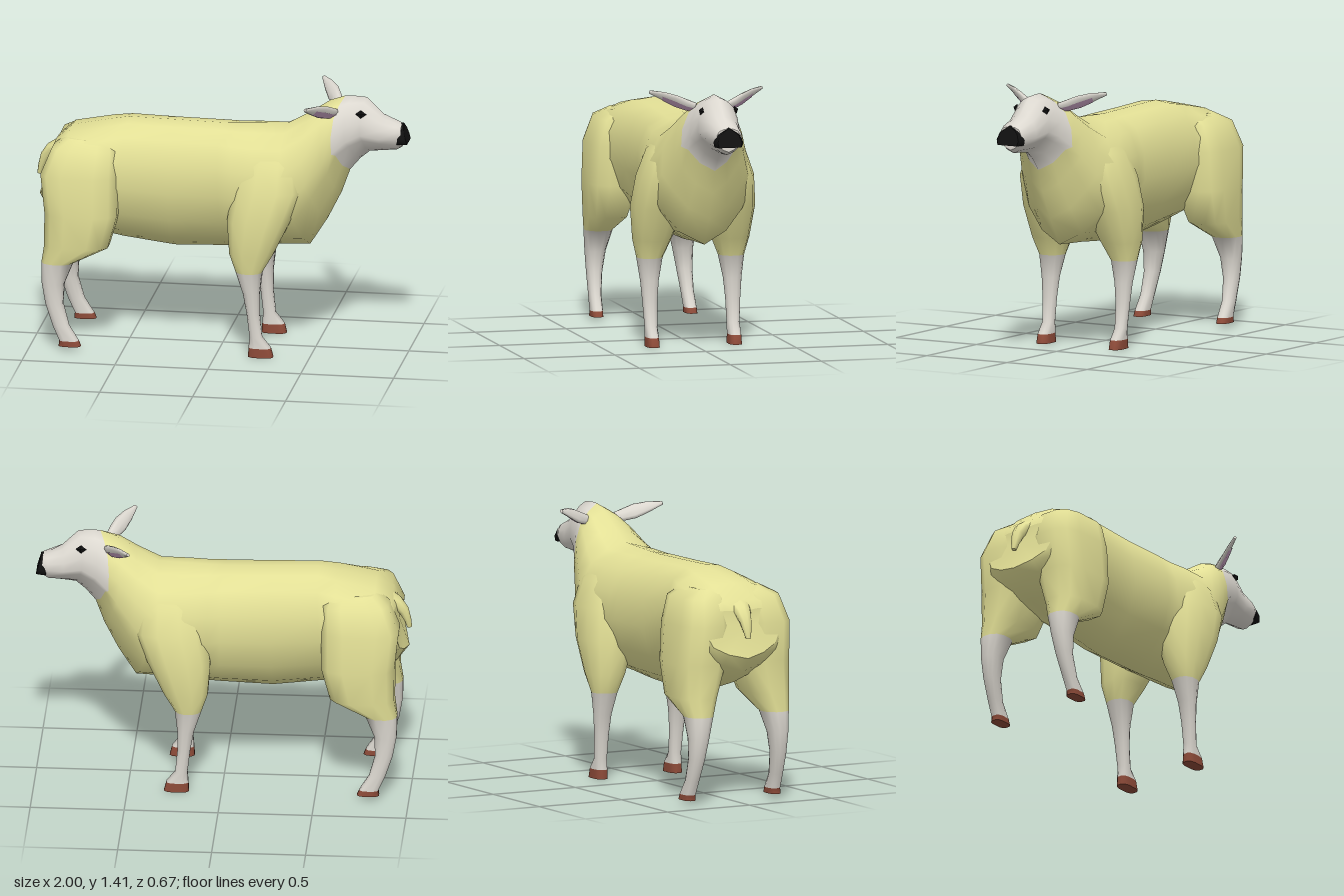
import * as THREE from 'three';

const WOOL = 0xe3e096, FACE = 0xdcd8d0, HOOF = 0x8c4a38, BLACK = 0x101010, PINK = 0xc9a3c3;
const V = (x, y, z) => new THREE.Vector3(x, y, z);

function mesh(name, geometry, color, side = THREE.FrontSide) {
  const m = new THREE.Mesh(geometry, new THREE.MeshStandardMaterial({ color, side }));
  m.name = name;
  return m;
}

// Skins closed rings with smooth normals, then splits the skin into coloured
// bands [name, colour, firstRing, lastRing]. End caps keep a sharp edge.
function loft(name, rings, bands) {
  const n = rings[0].length, last = rings.length - 1;
  const pos = rings.flat().flatMap(p => p.toArray());
  const spans = [];
  for (let i = 0; i < last; i++) {
    const tris = [];
    for (let j = 0; j < n; j++) {
      const a = i * n + j, b = i * n + (j + 1) % n;
      tris.push(a, b, b + n, a, b + n, a + n);
    }
    spans.push(tris);
  }
  for (const [i, ring] of [[0, rings[0]], [last - 1, rings[last]]]) {
    const start = pos.length / 3, c = V(0, 0, 0);
    ring.forEach(p => { c.addScaledVector(p, 1 / n); pos.push(p.x, p.y, p.z); });
    pos.push(c.x, c.y, c.z);
    const first = ring === rings[0];
    for (let j = 0; j < n; j++) {
      const a = start + j, b = start + (j + 1) % n;
      spans[i].push(...(first ? [b, a, start + n] : [a, b, start + n]));
    }
  }
  // Turn the skin outward whichever way the rings run
  const P = i => V(pos[3 * i], pos[3 * i + 1], pos[3 * i + 2]);
  let volume = 0;
  const all = spans.flat();
  for (let i = 0; i < all.length; i += 3) volume += P(all[i]).dot(P(all[i + 1]).cross(P(all[i + 2])));
  if (volume < 0) spans.forEach(s => { for (let i = 0; i < s.length; i += 3) [s[i], s[i + 1]] = [s[i + 1], s[i]]; });

  const base = new THREE.BufferGeometry();
  base.setAttribute('position', new THREE.Float32BufferAttribute(pos, 3));
  base.setIndex(spans.flat());
  base.computeVertexNormals();
  const group = new THREE.Group();
  group.name = name;
  for (const [part, color, from, to] of bands) {
    const g = base.clone();
    g.setIndex(spans.slice(from, to).flat());
    group.add(mesh(part, g, color));
  }
  return group;
}

// Torso section: [share of half width, share of height]
const SECTION = [[0, 0], [0.45, 0.1], [0.8, 0.27], [1, 0.5], [0.96, 0.72], [0.76, 0.9], [0.4, 0.98], [0, 1]];
const OUTLINE = [...SECTION, ...SECTION.slice(1, -1).reverse().map(([w, t]) => [-w, t])];

// Ring from its top point, bottom point and half width; peak makes it
// pear-shaped and sweeps the sides back
const bodyRing = ([tx, ty, bx, by, w, peak = 0]) => OUTLINE.map(([f, t]) => {
  const sweep = peak * Math.abs(f);
  return V(bx + (tx - bx) * t - sweep, by + (ty - by) * t - (t >= 0.5 ? sweep * 1.2 : 0), f * w);
});

// Level leg ring from x and z limits, squarer as power falls
function legRing([y, x0, x1, z0, z1, power], side) {
  const ring = [], n = 12;
  const bend = v => Math.sign(v) * Math.pow(Math.abs(v), power);
  for (let j = 0; j < n; j++) {
    const a = (j + 0.5) / n * Math.PI * 2;
    ring.push(V((x0 + x1) / 2 + bend(Math.cos(a)) * (x1 - x0) / 2, y,
      side * ((z0 + z1) / 2 + bend(Math.sin(a)) * (z1 - z0) / 2)));
  }
  return ring;
}

function leg(name, rows, side) {
  return loft(name, rows.map(r => legRing(r, side)), [
    ['hoof', HOOF, 0, 1], ['shank', FACE, 1, 5], ['woollyThigh', WOOL, 5, rows.length - 1]]);
}

function ear(side) {
  const group = new THREE.Group();
  group.name = 'ear';
  const wide = V(0.6, 0.8, 0.08), inward = V(0.62, -0.53, 0.6);
  // Centre x, y, z, half width, half thickness
  const rows = [[0.615, 1.33, 0.085, 0.026, 0.018], [0.595, 1.34, 0.125, 0.036, 0.02],
    [0.565, 1.36, 0.18, 0.043, 0.016], [0.53, 1.383, 0.24, 0.032, 0.012], [0.492, 1.404, 0.308, 0.01, 0.008]];
  const place = (r, a, b) => {
    const p = V(r[0], r[1], r[2]).addScaledVector(wide, a).addScaledVector(inward, b);
    p.z *= side;
    return p;
  };
  const rings = rows.map(r => Array.from({ length: 8 }, (_, j) => {
    const a = j / 8 * Math.PI * 2;
    return place(r, Math.cos(a) * r[3], Math.sin(a) * r[4]);
  }));
  group.add(loft('earShell', rings, [['earSkin', FACE, 0, 4]]));
  // Pink lining lies just over the lower inner face
  const pts = [], idx = [];
  rows.slice(0, 4).forEach((r, i) => {
    for (const [f, h] of [[-0.88, 0.3], [-0.7, 0.71], [0.3, 0.95]]) pts.push(...place(r, f * r[3], r[4] * h + 0.003).toArray());
    if (i) for (const c of [0, 1]) {
      const a = (i - 1) * 3 + c;
      idx.push(a, a + 1, a + 4, a, a + 4, a + 3);
    }
  });
  const lining = new THREE.BufferGeometry();
  lining.setAttribute('position', new THREE.Float32BufferAttribute(pts, 3));
  lining.setIndex(idx);
  lining.computeVertexNormals();
  group.add(mesh('earLining', lining, PINK, THREE.DoubleSide));
  return group;
}

export function createModel() {
  const model = new THREE.Group();
  model.name = 'sheep';

  // Torso, neck and head in one skin, from the rump forward
  const body = [
    [-0.925, 1.03, -0.985, 0.785, 0.235, -0.03], [-0.895, 1.09, -0.93, 0.71, 0.265], [-0.81, 1.17, -0.83, 0.64, 0.295],
    [-0.6, 1.213, -0.64, 0.585, 0.285], [-0.5, 1.23, -0.54, 0.565, 0.245], [-0.26, 1.225, -0.26, 0.53, 0.24],
    [0, 1.22, 0.02, 0.54, 0.25], [0.08, 1.222, 0.1, 0.545, 0.258, 0.01], [0.2, 1.228, 0.25, 0.558, 0.28, 0.02],
    [0.35, 1.235, 0.47, 0.57, 0.28, 0.03], [0.48, 1.31, 0.565, 0.72, 0.235, 0.05],
    [0.58, 1.375, 0.64, 0.87, 0.192, 0.05], [0.66, 1.403, 0.685, 0.995, 0.165, 0.065],
    [0.7, 1.405, 0.74, 1.06, 0.133, 0.045], [0.775, 1.4, 0.79, 1.102, 0.112, 0.03],
    [0.865, 1.312, 0.865, 1.11, 0.092, 0.015], [0.935, 1.272, 0.935, 1.116, 0.082], [0.965, 1.26, 0.967, 1.135, 0.067]];
  model.add(loft('body', body.map(bodyRing), [['fleece', WOOL, 0, 12], ['face', FACE, 12, 17]]));

  // Black nose with a sloping front
  const noseShape = [[1.267, 0], [1.228, 0.058], [1.19, 0.075], [1.163, 0.068],
    [1.163, -0.068], [1.19, -0.075], [1.228, -0.058]];
  const noseRing = (x, slope, k) => noseShape.map(([y, z]) => V(x - (y - 1.163) * slope, y, z * k));
  model.add(loft('nose', [noseRing(0.945, -0.15, 1.06), noseRing(0.985, 0.1, 1), noseRing(1, 0.28, 0.88)],
    [['noseTip', BLACK, 0, 2]]));

  // Short drooping tail: x, y, half width, half thickness
  const tail = [[-0.86, 1.07, 0.07, 0.035], [-0.922, 1.03, 0.05, 0.034],
    [-0.955, 0.985, 0.036, 0.03], [-0.975, 0.935, 0.026, 0.02], [-0.985, 0.89, 0.012, 0.014]];
  model.add(loft('tail', tail.map(([x, y, w, t], i) => {
    const tilt = 0.4 + i / 4;
    return Array.from({ length: 8 }, (_, j) => {
      const a = j / 8 * Math.PI * 2, s = Math.sin(a) * t;
      return V(x - Math.sin(tilt) * s, y + Math.cos(tilt) * s, Math.cos(a) * w);
    });
  }), [['tailWool', WOOL, 0, 4]]));

  // Leg rings from the ground up: y, x0, x1, z0, z1, power
  const frontLeg = [
    [0, 0.172, 0.308, 0.19, 0.262, 0.7], [0.05, 0.175, 0.295, 0.192, 0.26, 0.7], [0.11, 0.18, 0.248, 0.192, 0.26, 0.9],
    [0.24, 0.165, 0.235, 0.188, 0.268, 0.9], [0.35, 0.145, 0.236, 0.178, 0.277, 0.9], [0.47, 0.105, 0.25, 0.155, 0.293, 0.9],
    [0.57, 0.07, 0.31, 0.115, 0.315, 0.85], [0.75, 0.055, 0.4, 0.05, 0.334, 0.85], [0.92, 0.08, 0.47, 0.05, 0.312, 0.85],
    [1.06, 0.12, 0.45, 0.05, 0.262, 0.85], [1.15, 0.18, 0.42, 0.05, 0.19, 0.85]];
  const hindLeg = [
    [0.02, -0.842, -0.722, 0.225, 0.292, 0.7], [0.05, -0.838, -0.735, 0.225, 0.29, 0.7], [0.13, -0.875, -0.785, 0.22, 0.288, 0.9],
    [0.25, -0.915, -0.818, 0.205, 0.29, 0.9], [0.36, -0.935, -0.812, 0.185, 0.296, 0.9], [0.475, -0.938, -0.765, 0.155, 0.305, 0.85],
    [0.57, -0.925, -0.575, 0.11, 0.328, 0.75], [0.75, -0.925, -0.525, 0.05, 0.338, 0.7], [0.96, -0.948, -0.525, 0.04, 0.325, 0.65],
    [1.1, -0.89, -0.53, 0.04, 0.283, 0.65], [1.145, -0.82, -0.56, 0.04, 0.2, 0.7]];

  for (const side of [1, -1]) {
    model.add(leg('frontLeg', frontLeg, side), leg('hindLeg', hindLeg, side), ear(side));
    const eye = mesh('eye', new THREE.OctahedronGeometry(1), BLACK);
    eye.scale.set(0.03, 0.022, 0.016);
    eye.position.set(0.757, 1.33, side * 0.093);
    eye.rotation.set(side * -0.3, side * 0.2, 0);
    model.add(eye);
  }
  return model;
}
